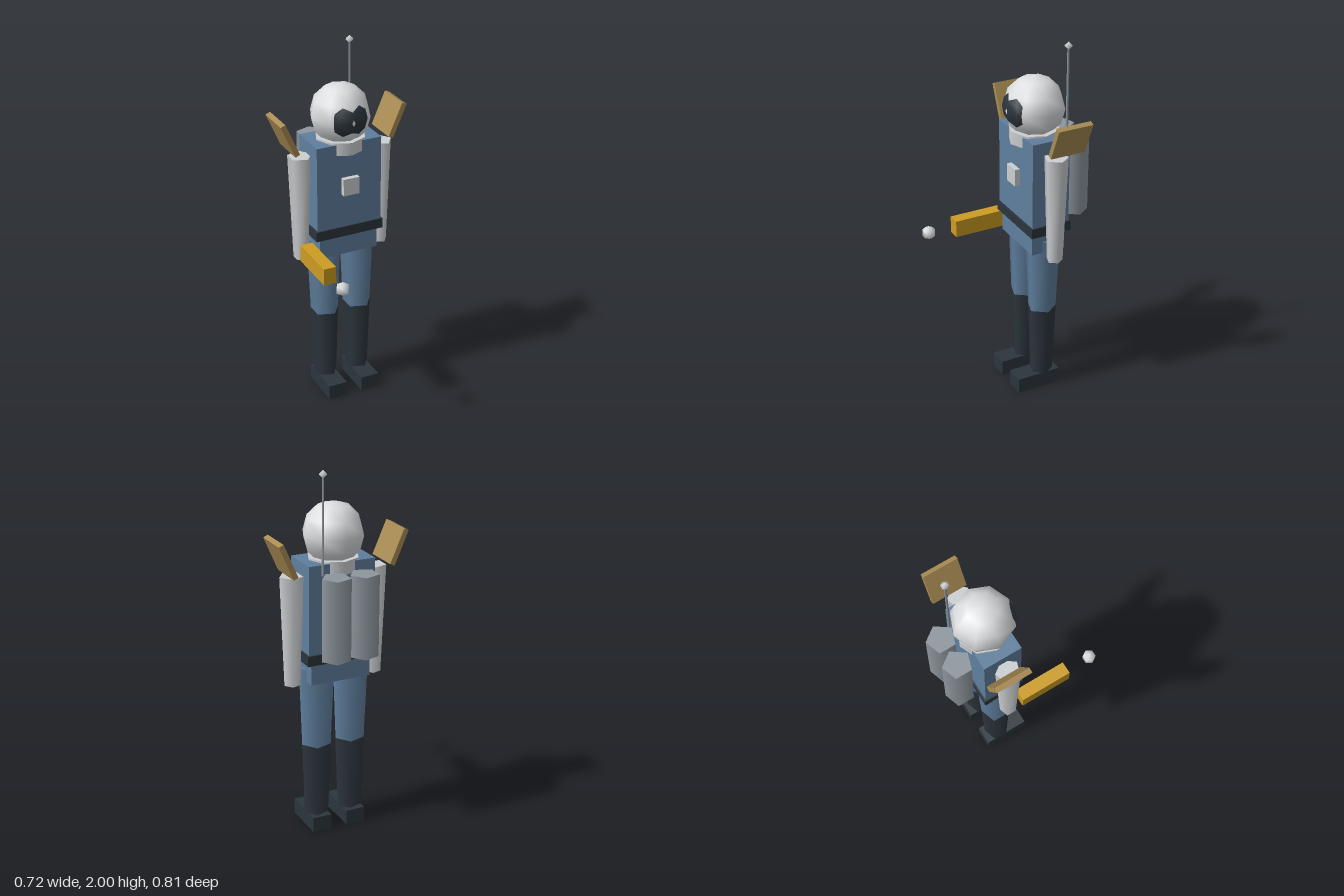
import * as THREE from 'three';

const paint = (name, color) => {
  const m = new THREE.MeshStandardMaterial({ color });
  m.name = name;
  return m;
};

export function createModel() {
  const root = new THREE.Group();
  root.name = 'astronaut';
  const mat = {
    suit: paint('suitBlue', 0x5f7f9e),
    dark: paint('darkRubber', 0x2c353d),
    light: paint('lightGrey', 0xcccfd2),
    white: paint('helmetWhite', 0xdcdee0),
    steel: paint('steelGrey', 0x8d969d),
    brass: paint('panelBrass', 0xa98c53),
    yellow: paint('toolYellow', 0xcc9c22),
  };
  const Z = -0.135; // centre line of the body

  const add = (name, geo, material, x, y, z) => {
    const m = new THREE.Mesh(geo, material);
    m.name = name;
    m.position.set(x, y, z);
    root.add(m);
    return m;
  };
  // box given by its centre x, bottom and top, back and front
  const box = (name, material, x, w, y0, y1, z0, z1) =>
    add(name, new THREE.BoxGeometry(w, y1 - y0, z1 - z0), material, x, (y0 + y1) / 2, (z0 + z1) / 2);
  // upright tapered tube; five-sided ones have a corner towards +x
  const tube = (name, material, x, z, rTop, rBottom, y0, y1, sides = 5) => {
    const m = add(name, new THREE.CylinderGeometry(rTop, rBottom, y1 - y0, sides), material, x, (y0 + y1) / 2, z);
    m.rotation.y = Math.PI / 2;
    return m;
  };

  // trunk
  box('torso', mat.suit, 0, 0.37, 0.98, 1.51, -0.243, -0.028);
  box('belt', mat.dark, 0, 0.39, 0.98, 1.035, -0.252, -0.02);
  box('pelvis', mat.suit, 0, 0.336, 0.865, 0.98, -0.23, -0.037);
  box('chestPanel', mat.light, 0, 0.092, 1.225, 1.32, -0.04, 0);
  tube('collar', mat.light, 0, Z, 0.137, 0.137, 1.45, 1.52, 8);

  // head with visor
  add('helmet', new THREE.SphereGeometry(0.165, 8, 6), mat.white, 0, 1.637, Z);
  const visor = add('visor', new THREE.SphereGeometry(0.115, 8, 6), mat.dark, 0, 1.637, -0.035);
  visor.scale.set(1, 0.85, 0.55);

  // limbs and shoulder panels
  for (const s of [-1, 1]) {
    const side = s > 0 ? 'left' : 'right';
    tube(side + 'Arm', mat.light, s * 0.233, Z, 0.066, 0.044, 0.847, 1.44);
    tube(side + 'Leg', mat.suit, s * 0.098, Z, 0.097, 0.08, 0.49, 0.93);
    tube(side + 'Boot', mat.dark, s * 0.098, Z, 0.081, 0.066, 0.08, 0.49);
    box(side + 'Foot', mat.dark, s * 0.099, 0.106, 0, 0.085, -0.22, 0.031);
    tube(side + 'Tank', mat.steel, s * 0.078, -0.333, 0.078, 0.078, 1.03, 1.467);
    const panel = box(side + 'ShoulderPanel', mat.brass, s * 0.307, 0.028, 1.46, 1.655, -0.273, -0.078);
    panel.rotation.z = -s * 0.41;
  }

  // antenna
  tube('antenna', mat.steel, 0.117, -0.262, 0.006, 0.007, 1.46, 1.97, 6);
  add('antennaTip', new THREE.SphereGeometry(0.022, 6, 2), mat.white, 0.117, 1.978, -0.262);

  // hand tool and the ball floating ahead of it
  box('handTool', mat.yellow, -0.235, 0.069, 0.864, 0.958, -0.066, 0.226);
  add('toolBall', new THREE.SphereGeometry(0.039, 6, 3), mat.white, -0.235, 0.913, 0.373);

  return root;
}
